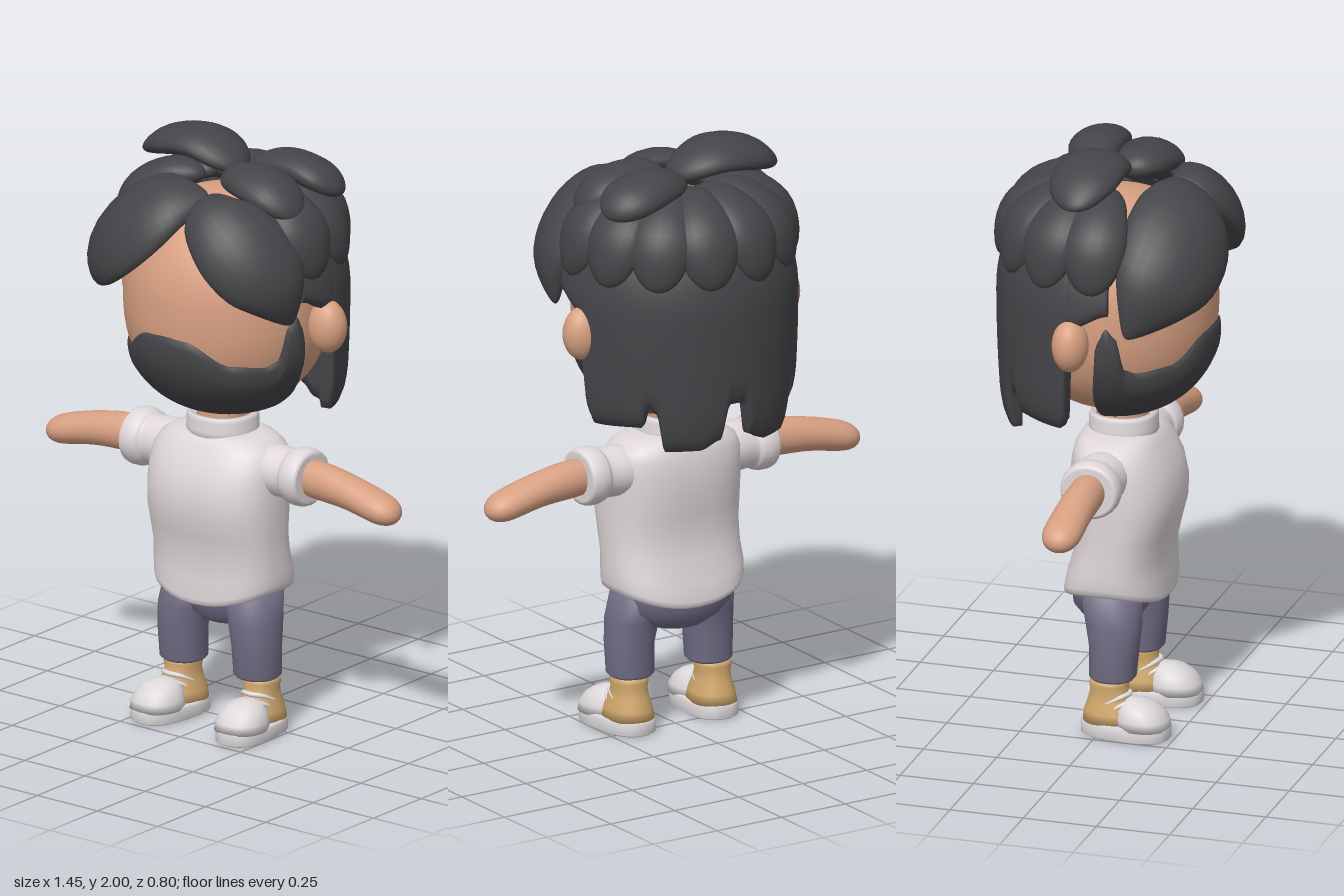
import * as THREE from 'three';

const mat = (name, color) => Object.assign(new THREE.MeshStandardMaterial({ color }), { name });
const V = (x, y, z) => new THREE.Vector3(x, y, z);
const rad = THREE.MathUtils.degToRad;
const HEAD = V(0, 1.46, 0);

// Skin closed rings (counter-clockwise about the direction of travel), capped at both ends
function loft(rings) {
  const n = rings[0].length, pos = [], idx = [];
  rings.forEach(r => r.forEach(p => pos.push(p.x, p.y, p.z)));
  for (let i = 0; i < rings.length - 1; i++) for (let j = 0; j < n; j++) {
    const a = i * n + j, b = i * n + (j + 1) % n;
    idx.push(a, b, b + n, a, b + n, a + n);
  }
  [0, rings.length - 1].forEach((k, end) => {
    const c = V(0, 0, 0), m = pos.length / 3;
    rings[k].forEach(p => c.addScaledVector(p, 1 / n));
    pos.push(c.x, c.y, c.z);
    for (let j = 0; j < n; j++) {
      const a = k * n + j, b = k * n + (j + 1) % n;
      if (end) idx.push(m, a, b); else idx.push(m, b, a);
    }
  });
  const g = new THREE.BufferGeometry();
  g.setAttribute('position', new THREE.Float32BufferAttribute(pos, 3));
  g.setIndex(idx);
  g.computeVertexNormals();
  return g;
}

// Horizontal superellipse sections: [y, centre x, centre z, half width, half depth]
function stack(rows, power = 2.2, warp = () => 0) {
  const f = c => Math.sign(c) * Math.abs(c) ** (2 / power);
  return loft(rows.map(([y, cx, cz, rx, rz]) => Array.from({ length: 40 }, (_, j) => {
    const a = j / 40 * Math.PI * 2, x = cx + rx * f(Math.cos(a));
    return V(x, y + warp(x, y), cz - rz * f(Math.sin(a)));
  })));
}

// Flattened tube along a path; sizes are [half width, half thickness] at each point
function strand(points, sizes, { normal, bend = 0, round = true, steps = 28 }) {
  const path = new THREE.CatmullRomCurve3(points.map(p => V(...p)));
  const size = new THREE.CatmullRomCurve3(sizes.map(([w, t], i) => V(w, t, i)));
  const rings = [];
  for (let i = 0; i <= steps; i++) {
    const u = round ? 0.5 - 0.5 * Math.cos(i / steps * Math.PI) : i / steps;
    const c = path.getPoint(u), T = path.getTangent(u), s = size.getPoint(u);
    const N = normal ? normal.clone() : c.clone().sub(HEAD);
    N.addScaledVector(T, -N.dot(T)).normalize();
    const S = N.clone().cross(T);
    const cap = round ? Math.sqrt(Math.max(0.0004, 1 - Math.abs(2 * u - 1) ** 5)) : 1;
    rings.push(Array.from({ length: 24 }, (_, j) => {
      const a = j / 24 * Math.PI * 2, w = s.x * cap * Math.cos(a);
      return c.clone().addScaledVector(S, w).addScaledVector(N, s.y * cap * Math.sin(a) - bend * w * w);
    }));
  }
  return loft(rings);
}

// Curved sheet with thickness, swept around the head from angle a0 to a1
function sheet(a0, a1, cols, rows, point) {
  return loft(Array.from({ length: cols + 1 }, (_, i) => {
    const a = a0 + (a1 - a0) * i / cols, ring = [];
    for (let k = 0; k <= rows; k++) ring.push(point(a, k / rows, 1));
    for (let k = rows; k >= 0; k--) ring.push(point(a, k / rows, 0));
    return ring;
  }));
}

// Smooth interpolation through [angle, value] pairs
function ease(table, a) {
  for (let i = 1; i < table.length; i++) if (a <= table[i][0]) {
    const [p, q] = [table[i - 1], table[i]];
    return THREE.MathUtils.lerp(p[1], q[1], THREE.MathUtils.smoothstep(a, p[0], q[0]));
  }
  return table[table.length - 1][1];
}

// Point on the slightly squared head
function headPoint(a, phi, k = 1) {
  const e = 2 / 2.3, r = Math.cos(phi) ** e, y = Math.sign(phi) * Math.abs(Math.sin(phi)) ** e;
  return V(0.345 * r * Math.sin(a) * k, HEAD.y + 0.365 * y * k, 0.335 * r * Math.cos(a) * k);
}

export function createModel() {
  const skin = mat('skin', 0xd8a082), hair = mat('hair', 0x454549), white = mat('shirt white', 0xdfd7d9);
  const denim = mat('trouser blue', 0x706c84), tan = mat('boot tan', 0xd0a76c), rubber = mat('shoe white', 0xdcd8da);
  const model = new THREE.Group();
  model.name = 'character';
  const add = (parent, name, geometry, material) => {
    const m = new THREE.Mesh(geometry, material);
    m.name = name;
    parent.add(m);
    return m;
  };

  // Head and neck
  const headRings = Array.from({ length: 41 }, (_, i) => Array.from({ length: 48 }, (_, j) =>
    headPoint(Math.PI / 2 + j / 48 * Math.PI * 2, rad(-89.5 + 179 * i / 40))));
  add(model, 'head', loft(headRings), skin);
  add(model, 'neck', stack([[0.98, 0, 0.025, 0.085, 0.085], [1.15, 0, 0.02, 0.085, 0.085]]), skin);

  // Beard with sideburns
  const beardTop = [[0, 1.4], [12, 1.395], [40, 1.315], [60, 1.305], [67, 1.32], [73, 1.44], [78, 1.47], [83, 1.42], [87, 1.25]];
  add(model, 'beard', sheet(rad(-87), rad(87), 116, 24, (a, v, t) => {
    const dy = (ease(beardTop, Math.abs(a) * 180 / Math.PI) - HEAD.y) / 0.365;
    const top = Math.sign(dy) * Math.asin(Math.abs(dy) ** 1.15);
    const phi = THREE.MathUtils.lerp(top, rad(-89), v);
    const edge = Math.sqrt(Math.min(1, v * 6 + 0.05));
    return headPoint(a, phi, t ? 1 + 0.065 * edge : 0.98);
  }), hair);

  // Long hair at the back with ragged ends
  const backEnds = [[0, 1.2], [4, 1.2], [9, 1.08], [20, 1.05], [38, 1.05], [42, 1.18], [46, 1.2], [50, 1.13], [78, 1.12], [81, 1.15], [84, 1.48], [104, 1.53]];
  add(model, 'backHair', sheet(rad(76), rad(284), 208, 20, (a, v, t) => {
    const y = THREE.MathUtils.lerp(1.78, ease(backEnds, Math.abs(a * 180 / Math.PI - 180)), v);
    const dome = y > 1.5 ? Math.sqrt(1 - ((y - 1.5) / 0.42) ** 2) : 1 - 0.25 * (1.5 - y) ** 2;
    const r = dome - (t ? 0.04 * (1 - Math.sqrt(Math.min(1, (1 - v) * 8))) : 0.12);
    return V(0.405 * r * Math.sin(a), y, 0.39 * r * Math.cos(a));
  }), hair);

  // Ring of short locks around the crown
  for (const b of [14, 41, 68, 95]) for (const s of [-1, 1]) {
    const sx = Math.sin(rad(b)) * s * 1.04, sz = -Math.cos(rad(b));
    const pts = [[0.09, 1.85], [0.21, 1.845], [0.325, 1.765], [0.375, 1.6]].map(([r, y]) => [r * sx, y, r * sz]);
    add(model, 'crownLock', strand(pts, [[0.05, 0.04], [0.085, 0.045], [0.108, 0.05], [0.085, 0.04]], { bend: 1 }), hair);
  }

  // Top tufts and swept fringe
  const lock = (name, pts, sizes, bend) => add(model, name, strand(pts, sizes, { bend }), hair);
  lock('rightTuft', [[0.04, 1.89, -0.02], [-0.1, 1.95, -0.04], [-0.24, 1.935, -0.04], [-0.36, 1.88, -0.03]],
    [[0.09, 0.04], [0.12, 0.05], [0.115, 0.05], [0.07, 0.03]], 0.8);
  lock('leftBackTuft', [[0.03, 1.88, -0.07], [0.15, 1.91, -0.12], [0.27, 1.89, -0.135], [0.36, 1.84, -0.14]],
    [[0.06, 0.04], [0.09, 0.05], [0.1, 0.05], [0.07, 0.035]], 0.8);
  lock('leftFrontTuft', [[0.03, 1.88, 0.02], [0.12, 1.895, 0.05], [0.24, 1.875, 0.06], [0.34, 1.81, 0.07]],
    [[0.06, 0.04], [0.09, 0.05], [0.1, 0.05], [0.07, 0.035]], 0.8);
  lock('rightFringe', [[0.07, 1.86, 0.19], [-0.06, 1.83, 0.26], [-0.2, 1.74, 0.285], [-0.32, 1.62, 0.24], [-0.375, 1.46, 0.15]],
    [[0.06, 0.03], [0.155, 0.055], [0.19, 0.06], [0.155, 0.055], [0.05, 0.03]], 1.25);
  lock('leftFringe', [[0.07, 1.86, 0.18], [0.15, 1.82, 0.24], [0.26, 1.74, 0.25], [0.35, 1.62, 0.205], [0.375, 1.47, 0.14]],
    [[0.06, 0.03], [0.125, 0.055], [0.16, 0.06], [0.14, 0.055], [0.05, 0.03]], 1.25);

  // Shirt with a hem that rises at the sides, and its collar
  add(model, 'shirt', stack([
    [0.46, 0, 0.018, 0.19, 0.13], [0.438, 0, 0.018, 0.225, 0.162], [0.444, 0, 0.018, 0.236, 0.17], [0.46, 0, 0.018, 0.24, 0.172],
    [0.52, 0, 0.022, 0.243, 0.165], [0.6, 0, 0.032, 0.241, 0.152], [0.68, 0, 0.045, 0.242, 0.157], [0.75, 0, 0.05, 0.245, 0.17],
    [0.82, 0, 0.047, 0.245, 0.175], [0.89, 0, 0.038, 0.245, 0.168], [0.94, 0, 0.028, 0.24, 0.152], [0.975, 0, 0.022, 0.22, 0.138],
    [1.0, 0, 0.02, 0.18, 0.122], [1.015, 0, 0.02, 0.12, 0.1]], 2.5,
  (x, y) => 0.055 * (x / 0.24) ** 2 * THREE.MathUtils.clamp((0.62 - y) / 0.16, 0, 1)), white);
  add(model, 'collar', stack([[0.98, 0, 0.026, 0.125, 0.116], [1.02, 0, 0.026, 0.118, 0.112], [1.055, 0, 0.026, 0.117, 0.112],
    [1.068, 0, 0.026, 0.112, 0.108], [1.07, 0, 0.026, 0.1, 0.097], [1.05, 0, 0.026, 0.088, 0.088]]), white);

  // Trouser seat
  add(model, 'trouserSeat', stack([[0.343, 0, 0, 0.03, 0.04], [0.352, 0, 0, 0.09, 0.08], [0.38, 0, -0.003, 0.15, 0.105],
    [0.42, 0, -0.008, 0.19, 0.122], [0.48, 0, -0.004, 0.207, 0.13], [0.54, 0, 0.01, 0.2, 0.12]]), denim);

  // Ear, arm, leg and shoe for each side
  for (const s of [1, -1]) {
    const side = new THREE.Group();
    side.name = s > 0 ? 'leftSide' : 'rightSide';
    side.scale.x = s;
    model.add(side);

    const ear = add(side, 'ear', new THREE.SphereGeometry(1, 24, 18), skin);
    ear.scale.set(0.068, 0.09, 0.06);
    ear.position.set(0.386, 1.42, -0.035);

    const up = V(0, 1, 0);
    add(side, 'sleeve', strand([0.15, 0.22, 0.285, 0.3, 0.33, 0.36, 0.368, 0.355].map(x => [x, 0.905, 0.02]),
      [[0.09, 0.075], [0.09, 0.085], [0.085, 0.083], [0.096, 0.092], [0.102, 0.098], [0.097, 0.093], [0.085, 0.08], [0.07, 0.07]],
      { normal: up, round: false, steps: 35 }), white);
    add(side, 'arm', strand([[0.25, 0.91, 0.02], [0.4, 0.905, 0.02], [0.53, 0.89, 0.02], [0.64, 0.865, 0.02], [0.722, 0.842, 0.02]],
      [[0.06, 0.065], [0.06, 0.064], [0.062, 0.056], [0.066, 0.052], [0.064, 0.05]], { normal: up }), skin);

    add(side, 'trouserLeg', stack([[0.2, 0.153, 0.037, 0.055, 0.055], [0.187, 0.153, 0.037, 0.068, 0.068], [0.197, 0.153, 0.037, 0.077, 0.077],
      [0.3, 0.153, 0.042, 0.08, 0.082], [0.38, 0.145, 0.038, 0.085, 0.093], [0.48, 0.125, 0.02, 0.092, 0.1]]), denim);

    const shoe = new THREE.Group();
    shoe.name = 'shoe';
    shoe.position.set(0.16, 0, 0);
    shoe.rotation.y = 0.1;
    side.add(shoe);
    add(shoe, 'sole', stack([[0, 0, 0.0875, 0.08, 0.144], [0.006, 0, 0.0875, 0.088, 0.152], [0.042, 0, 0.0875, 0.088, 0.152],
      [0.05, 0, 0.0875, 0.08, 0.144]], 2.5), rubber);
    add(shoe, 'toeCap', stack([[0.04, 0, 0.148, 0.087, 0.091], [0.07, 0, 0.146, 0.085, 0.087], [0.1, 0, 0.137, 0.073, 0.073],
      [0.12, 0, 0.127, 0.053, 0.053], [0.132, 0, 0.118, 0.022, 0.025]]), rubber);
    add(shoe, 'bootUpper', stack([[0.04, 0, 0.035, 0.08, 0.095], [0.08, 0, 0.035, 0.072, 0.09], [0.12, 0, 0.032, 0.06, 0.074],
      [0.15, 0, 0.028, 0.056, 0.062], [0.172, 0, 0.028, 0.06, 0.065], [0.184, 0, 0.028, 0.057, 0.062], [0.195, 0, 0.028, 0.045, 0.05]]), tan);
    for (const [y, z] of [[0.118, 0.098], [0.138, 0.082]])
      add(shoe, 'lace', strand([[-0.06, y - 0.022, z - 0.045], [-0.035, y, z], [0, y + 0.004, z + 0.016], [0.035, y, z], [0.06, y - 0.022, z - 0.045]],
        Array(5).fill([0.009, 0.008]), { normal: up, steps: 16 }), rubber);
  }
  return model;
}
